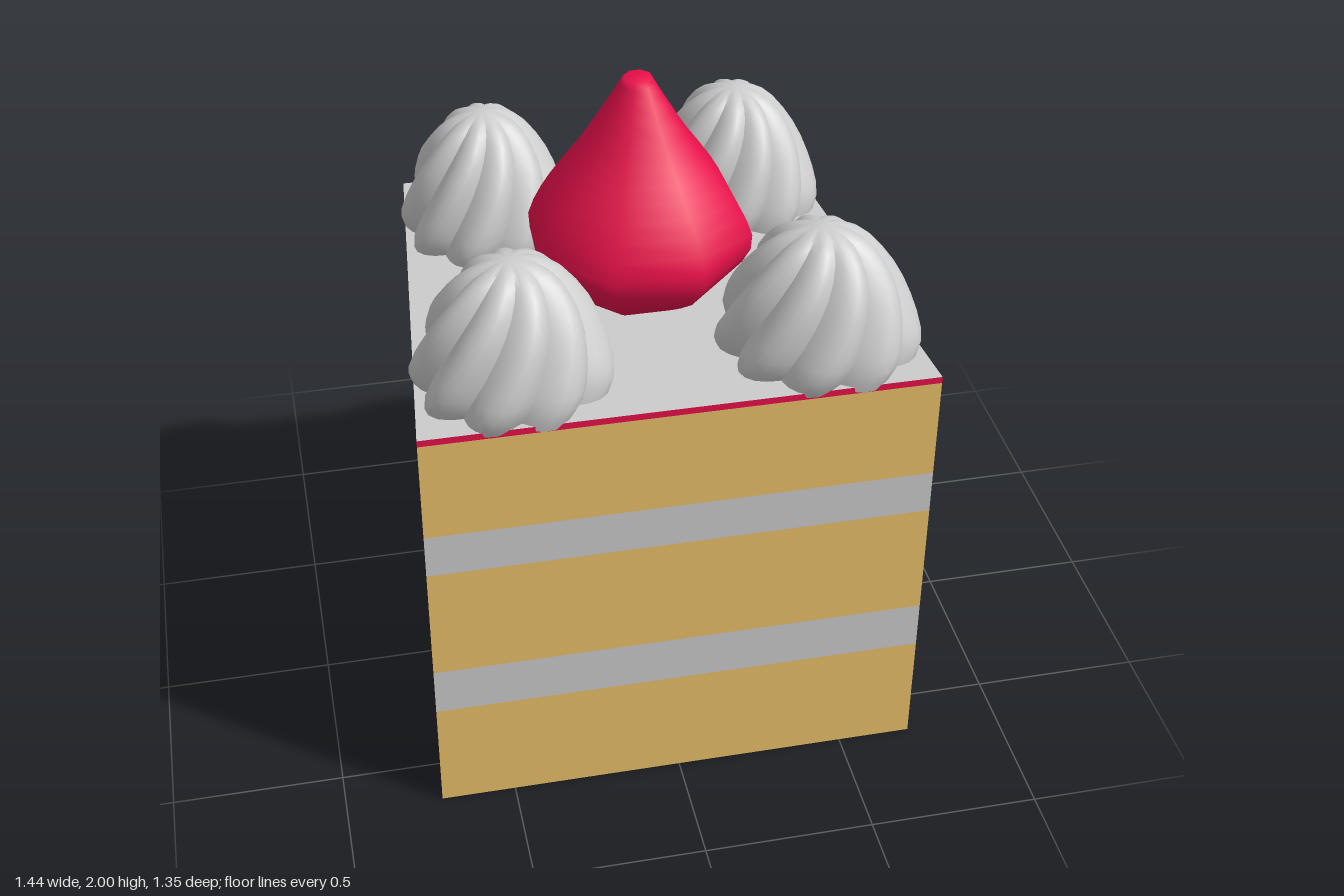
import * as THREE from 'three';
import { toCreasedNormals } from 'three/addons/utils/BufferGeometryUtils.js';

const GREY = 0xcccccc, SPONGE = 0xe9bf68, RED = 0xe8104a;
const WIDTH = 1.32, DEPTH = 1.325, MID_Z = -0.018, TOP = 1.33;

// The whole slice narrows towards the back
function taper(geometry) {
  const p = geometry.attributes.position;
  for (let i = 0; i < p.count; i++) p.setX(i, p.getX(i) * (1 + 0.137 * p.getZ(i)));
  return geometry;
}

function addPart(group, name, geometry, color, options = {}) {
  const mesh = new THREE.Mesh(geometry, new THREE.MeshStandardMaterial({ color, ...options }));
  mesh.name = name;
  group.add(mesh);
}

// Four side walls of one layer
function layerWalls(y0, y1) {
  const g = new THREE.CylinderGeometry(Math.SQRT1_2, Math.SQRT1_2, y1 - y0, 4, 1, true, Math.PI / 4);
  g.scale(WIDTH, 1, DEPTH).translate(0, (y0 + y1) / 2, MID_Z);
  return taper(g);
}

function cap(y, up) {
  const g = new THREE.PlaneGeometry(WIDTH, DEPTH);
  g.rotateX(up ? -Math.PI / 2 : Math.PI / 2).translate(0, y, MID_Z);
  return taper(g);
}

const curvePoints = (pairs, n) =>
  new THREE.SplineCurve(pairs.map(([r, y]) => new THREE.Vector2(r, y))).getPoints(n)
    .map(v => new THREE.Vector2(Math.max(v.x, 0), v.y));

// Piped cream: a dome whose rounded lobes twist around the axis
function creamSwirl(x, z) {
  const lobes = 9, height = 0.38;
  const profile = curvePoints([[0.255, -0.015], [0.27, 0.05], [0.245, 0.14], [0.2, 0.24],
    [0.13, 0.33], [0.06, 0.37], [0, height]], 14);
  const g = new THREE.LatheGeometry(profile, lobes * 6);
  const p = g.attributes.position;
  for (let i = 0; i < p.count; i++) {
    const px = p.getX(i), pz = p.getZ(i), y = p.getY(i);
    const r = Math.hypot(px, pz), a = Math.atan2(px, pz);
    const bump = Math.abs(Math.sin(a * lobes / 2));
    const k = r * (0.83 + 0.17 * bump);
    const turn = a + 0.85 * (y / height);
    p.setXYZ(i, Math.sin(turn) * k, y, Math.cos(turn) * k);
  }
  g.translate(x, TOP, z);
  return toCreasedNormals(taper(g), 0.7);
}

// Eight-sided strawberry with smooth shading
function strawberry() {
  const profile = curvePoints([[0.17, TOP], [0.275, 1.41], [0.325, 1.51], [0.285, 1.62],
    [0.22, 1.72], [0.155, 1.81], [0.075, 1.94], [0.04, 2]], 16);
  profile.push(new THREE.Vector2(0, 2));
  const g = new THREE.LatheGeometry(profile, 8, Math.PI / 8);
  return taper(g.translate(0, 0, 0.02));
}

export function createModel() {
  const group = new THREE.Group();
  group.name = 'cakeSlice';

  // Sponge, cream and jam layers from the bottom up
  const layers = [
    ['lowerSponge', 0, 0.355, SPONGE], ['lowerCream', 0.355, 0.505, GREY],
    ['middleSponge', 0.505, 0.865, SPONGE], ['upperCream', 0.865, 1, GREY],
    ['upperSponge', 1, 1.31, SPONGE], ['jamEdge', 1.31, TOP, RED],
  ];
  for (const [name, y0, y1, color] of layers)
    addPart(group, name, layerWalls(y0, y1), color, { flatShading: true });
  addPart(group, 'cakeBottom', cap(0, false), SPONGE);
  addPart(group, 'creamTop', cap(TOP, true), GREY);

  // Toppings
  addPart(group, 'strawberry', strawberry(), RED);
  for (const [zName, z] of [['front', 0.407], ['back', -0.407]])
    for (const [xName, x] of [['Left', 0.402], ['Right', -0.402]])
      addPart(group, `${zName}${xName}CreamSwirl`, creamSwirl(x, z), GREY, { side: THREE.DoubleSide });

  return group;
}
